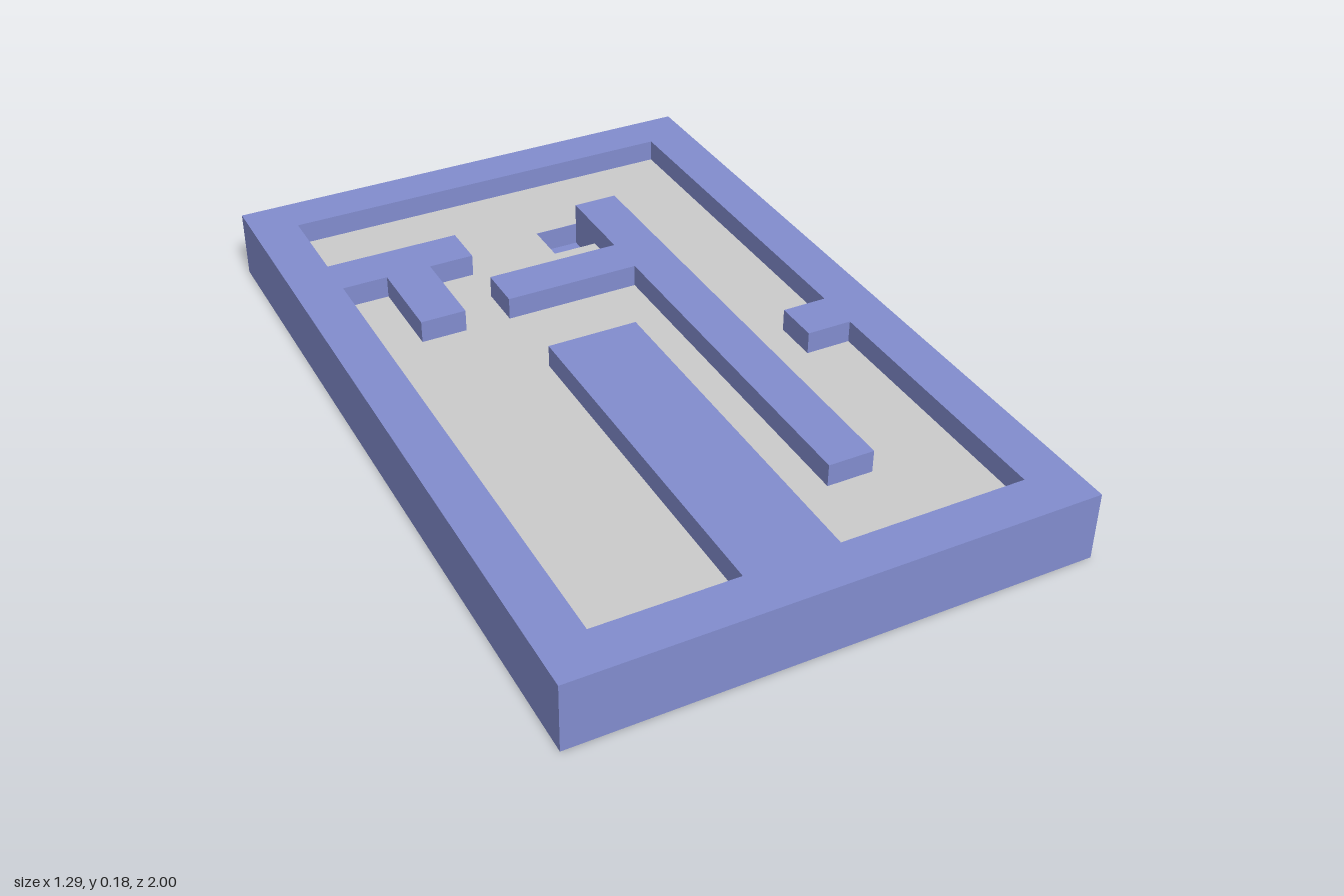
import * as THREE from 'three';

const CELL = 2 / 17;      // plan grid: 11 x 17 cells
const LAYER = CELL / 2;   // three equal layers in height

// Plan points in grid cells, counted from the back left corner of the top view
const points = (cells) => cells.map(([i, j]) => new THREE.Vector2((i - 5.5) * CELL, (8.5 - j) * CELL));
// Counter-clockwise rectangle, so that walls of holes face into the opening
const rect = (i0, j0, i1, j1) => [[i0, j0], [i0, j1], [i1, j1], [i1, j0]];

function plan(outline, hole) {
  const shape = new THREE.Shape(points(outline));
  if (hole) shape.holes.push(new THREE.Path(points(hole)));
  return shape;
}

export function createModel() {
  const model = new THREE.Group();
  const blue = new THREE.MeshStandardMaterial({ color: 0x828dcf });
  const grey = new THREE.MeshStandardMaterial({ color: 0xcccccc });

  const add = (name, geometry, material, y) => {
    const mesh = new THREE.Mesh(geometry.rotateX(-Math.PI / 2), material);
    mesh.name = name;
    mesh.position.y = y;
    model.add(mesh);
  };
  const slab = (name, shape, y) =>
    add(name, new THREE.ExtrudeGeometry(shape, { depth: LAYER, bevelEnabled: false }), blue, y);

  const outer = rect(0, 0, 11, 17);
  const pit = rect(6, 3, 7, 4);

  // Open corridor inside the frame, going around the walls attached to it
  const corridor = [
    [1, 1], [10, 1], [10, 9], [9, 9], [9, 10], [10, 10], [10, 16],  // right stub
    [6, 16], [6, 8], [4, 8], [4, 16],                               // wide front wall
    [1, 16], [1, 4], [2, 4], [2, 6], [3, 6], [3, 4], [4, 4], [4, 3], [1, 3], // T-shaped wall
  ];
  // Free-standing long wall with a side arm
  const island = [[7, 3], [8, 3], [8, 14], [7, 14], [7, 6], [4, 6], [4, 5], [7, 5]];

  slab('base', plan(outer), 0);
  slab('pitLayer', plan(outer, pit), LAYER);
  slab('frameWalls', plan(outer, corridor), 2 * LAYER);
  slab('islandWall', plan(island), 2 * LAYER);

  // Grey floor sheet, pierced by the pit
  add('floor', new THREE.ShapeGeometry(plan(rect(1, 1, 10, 16), pit)), grey, 2 * LAYER + 0.001);

  return model;
}
